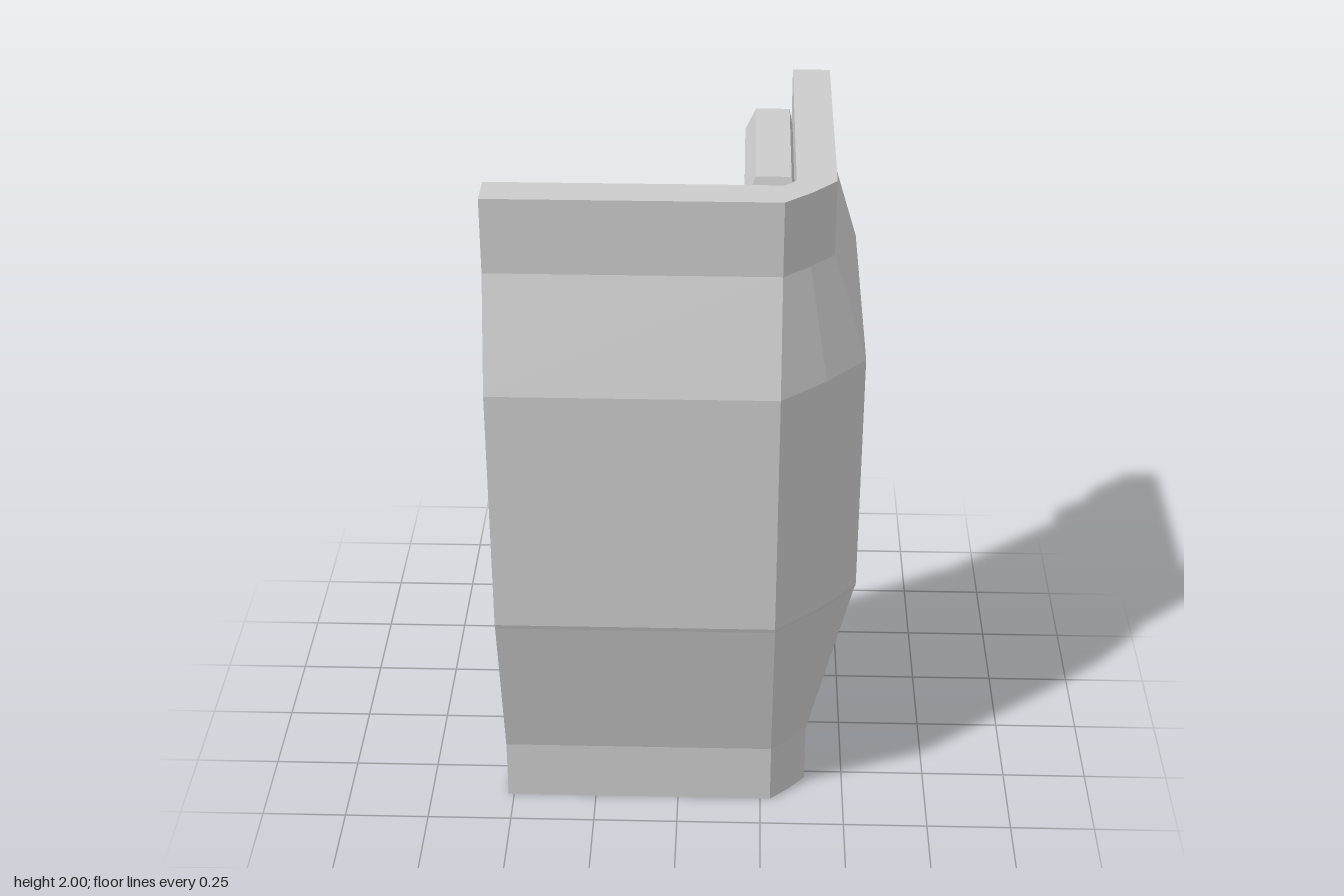
import * as THREE from 'three';

const material = new THREE.MeshStandardMaterial({ color: 0xcccccc, flatShading: true });

// Solid skin over a row of equal rings (each an even count of [x, y, z]), capped at both ends
function loft(name, rings) {
  const pos = [];
  const quad = (a, b, c, d) => pos.push(...a, ...b, ...c, ...a, ...c, ...d);
  const n = rings[0].length;
  for (let i = 0; i < rings.length - 1; i++) {
    for (let j = 0; j < n; j++) {
      const k = (j + 1) % n;
      quad(rings[i][j], rings[i][k], rings[i + 1][k], rings[i + 1][j]);
    }
  }
  const first = rings[0], last = rings[rings.length - 1];
  for (let j = 0; j < n / 2 - 1; j++) {
    quad(first[j], first[n - 1 - j], first[n - 2 - j], first[j + 1]);
    quad(last[j], last[j + 1], last[n - 2 - j], last[n - 1 - j]);
  }

  // Turn the faces outward when the enclosed volume comes out negative
  const a = new THREE.Vector3(), b = new THREE.Vector3(), c = new THREE.Vector3();
  let volume = 0;
  for (let i = 0; i < pos.length; i += 9) {
    volume += a.fromArray(pos, i).dot(b.fromArray(pos, i + 3).cross(c.fromArray(pos, i + 6)));
  }
  if (volume < 0) {
    for (let i = 0; i < pos.length; i += 9) {
      for (let k = 0; k < 3; k++) [pos[i + k], pos[i + 3 + k]] = [pos[i + 3 + k], pos[i + k]];
    }
  }
  const geometry = new THREE.BufferGeometry();
  geometry.setAttribute('position', new THREE.Float32BufferAttribute(pos, 3));
  geometry.computeVertexNormals();
  const mesh = new THREE.Mesh(geometry, material);
  mesh.name = name;
  return mesh;
}

// L-shaped wall: one section swept round a chamfered corner
function cornerWall() {
  const levels = [ // height, outer offset, inner offset
    [0, 0.385, 0.28], [0.19, 0.385, 0.28], [0.705, 0.512, 0.415], [0.72, 0.517, 0.437],
    [1.455, 0.517, 0.437], [1.465, 0.517, 0.415], [1.785, 0.42, 0.312], [2, 0.42, 0.312],
  ];
  const section = [
    ...levels.map(([y, outer]) => [y, outer]),
    ...levels.map(([y, , inner]) => [y, inner]).reverse(),
  ];
  const corner = 0.28, end = -0.517;
  const mid = (d) => corner + (d - corner) * 0.53;
  const stations = [
    (d) => [end, d], (d) => [corner, d], (d) => [mid(d), mid(d)],
    (d) => [d, corner], (d) => [d, end],
  ];
  return loft('cornerWall', stations.map((at) => section.map(([y, d]) => {
    const [x, z] = at(d);
    return [x, y, z];
  })));
}

// Cushion stacked from rectangles: height, front depth, back depth, half width
function pad(name, levels, swap) {
  const centre = -0.12;
  return loft(name, levels.map(([y, front, back, half]) => [
    [centre - half, front], [centre + half, front], [centre + half, back], [centre - half, back],
  ].map(([along, depth]) => (swap ? [depth, y, along] : [along, y, depth]))));
}

// Headrest, neck, backrest and lower plate on one wall
function seat(name, swap, headHalf) {
  const group = new THREE.Group();
  group.name = name;
  group.add(
    pad('headrest', [
      [1.69, 0.225, 0.30, headHalf - 0.015], [1.72, 0.19, 0.312, headHalf],
      [1.78, 0.175, 0.314, headHalf], [1.87, 0.175, 0.314, headHalf],
      [1.94, 0.205, 0.302, headHalf - 0.015],
    ], swap),
    pad('headrestNeck', [[1.56, 0.235, 0.29, 0.018], [1.72, 0.225, 0.28, 0.018]], swap),
    pad('backrest', [
      [1.10, 0.36, 0.42, 0.165], [1.17, 0.335, 0.437, 0.2], [1.45, 0.235, 0.437, 0.22],
      [1.56, 0.235, 0.40, 0.2], [1.64, 0.26, 0.37, 0.18],
    ], swap),
    pad('lowerPlate', [
      [0.03, 0.27, 0.30, 0.205], [0.035, 0.265, 0.30, 0.2],
      [0.155, 0.265, 0.30, 0.2], [0.16, 0.27, 0.30, 0.205],
    ], swap),
  );
  return group;
}

export function createModel() {
  const model = new THREE.Group();
  model.name = 'cornerSeatPanel';
  model.add(cornerWall(), seat('frontWallSeat', false, 0.28), seat('leftWallSeat', true, 0.256));
  return model;
}
